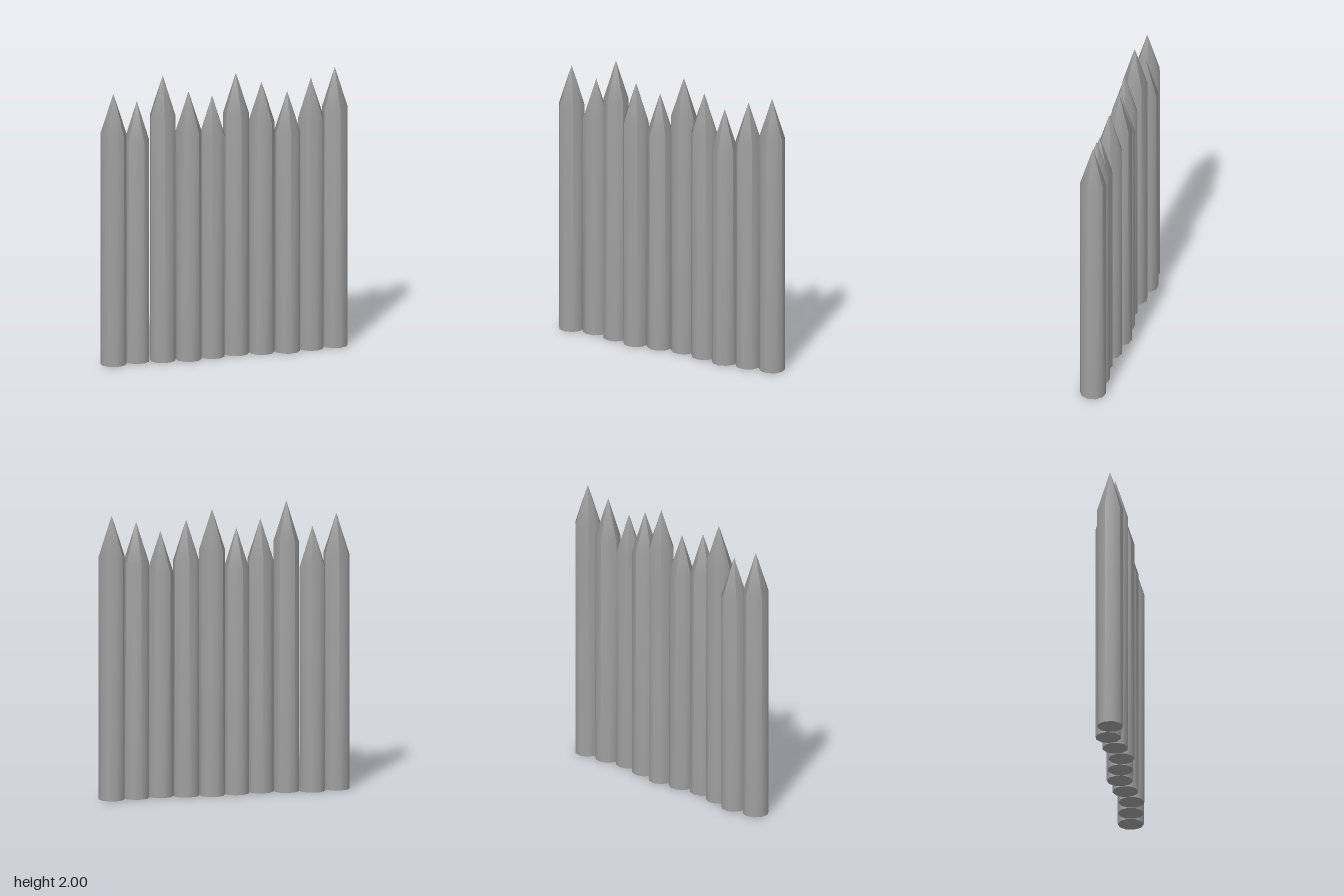
import * as THREE from 'three';
import { mergeGeometries } from 'three/addons/utils/BufferGeometryUtils.js';

const RADIUS = 0.0885, TIP = 0.28, PANELS = 5;
const PANEL_ANGLE = (Math.PI * 2) / PANELS;

// One row per stake: tip height, z offset, turn of the first carved ridge in degrees
const STAKES = [
  [1.90, 0, -36], [1.825, -0.03, 18], [2.0, 0, -8], [1.88, 0.025, 36], [1.83, 0, -18],
  [1.97, -0.022, 8], [1.90, 0, -36], [1.825, 0.023, 0], [1.90, 0, -25], [1.955, -0.018, 8],
];

// A fifth of a stake, two sides wide: a wedge of the point running smoothly into the trunk.
// Its edges form ridges at the point that fade out towards the round foot.
function panelGeometry(top) {
  const geometry = new THREE.ConeGeometry(RADIUS, top, 2, 2, true, -PANEL_ANGLE / 2, PANEL_ANGLE);
  geometry.translate(0, top / 2, 0);
  const { position, normal } = geometry.attributes;
  const v = new THREE.Vector3();
  // Widen the middle ring to full radius and lift it to the shoulder
  for (let i = 3; i < 6; i++) {
    position.setXYZ(i, position.getX(i) * 2, top - TIP, position.getZ(i) * 2);
  }
  geometry.computeVertexNormals();
  for (let i = 0; i < 3; i++) {
    v.set(0, RADIUS, TIP).normalize();
    normal.setXYZ(i, v.x, v.y, v.z);
    v.fromBufferAttribute(position, i + 6).normalize();
    normal.setXYZ(i + 6, v.x, v.y, v.z);
  }
  return geometry;
}

export function createModel() {
  const palisade = new THREE.Group();
  palisade.name = 'palisade';
  const wood = new THREE.MeshStandardMaterial({ color: 0xa0a0a0 });

  // Flat foot, shared by all stakes
  const footGeometry = new THREE.CircleGeometry(RADIUS, PANELS * 2);
  footGeometry.rotateZ(Math.PI / 2).rotateX(Math.PI / 2);

  STAKES.forEach(([top, z, turn], i) => {
    const stake = new THREE.Group();
    stake.name = `stake${i + 1}`;

    // Trunk with its carved point
    const panels = [];
    for (let k = 0; k < PANELS; k++) {
      panels.push(panelGeometry(top).rotateY((k + 0.5) * PANEL_ANGLE));
    }
    const trunk = new THREE.Mesh(mergeGeometries(panels), wood);
    trunk.name = 'trunk';

    const foot = new THREE.Mesh(footGeometry, wood);
    foot.name = 'foot';

    stake.add(trunk, foot);
    stake.position.set((i - 4.5) * 0.175, 0, z);
    stake.rotation.y = THREE.MathUtils.degToRad(turn);
    palisade.add(stake);
  });
  return palisade;
}
